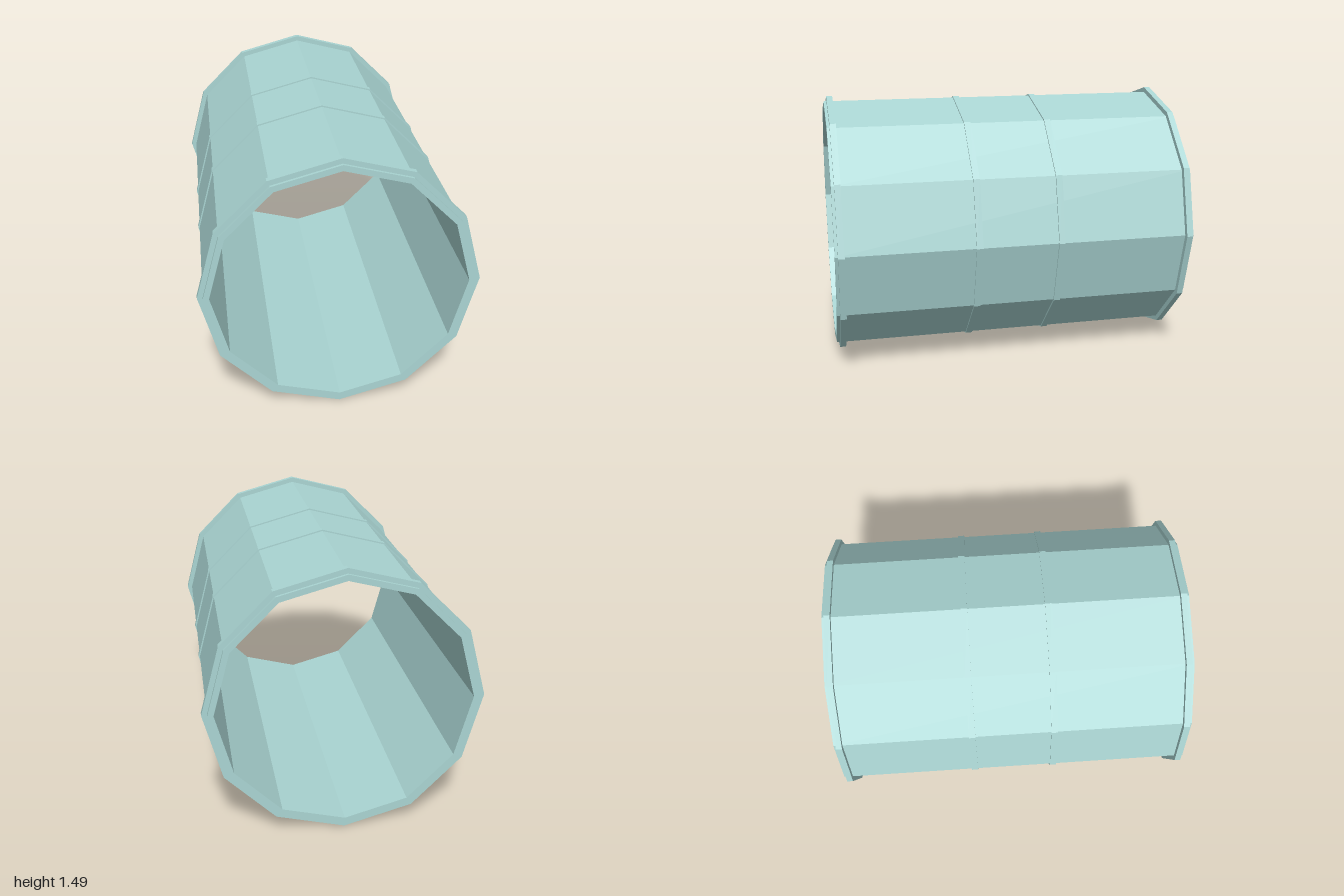
import * as THREE from 'three';

const SIDES = 12;
const CENTER_Y = 0.747; // axis height, equal to the flange radius

// Twelve-sided ring around the z axis, from a closed [radius, z] outline
function ring(name, outline, material) {
  const points = [...outline, outline[0]].map(([r, z]) => new THREE.Vector2(r, z));
  const geometry = new THREE.LatheGeometry(points, SIDES).rotateX(Math.PI / 2);
  const mesh = new THREE.Mesh(geometry.toNonIndexed(), material);
  mesh.geometry.computeVertexNormals(); // one flat normal per face
  mesh.name = name;
  mesh.position.y = CENTER_Y;
  return mesh;
}

// Rectangular section between two radii and two z values
const section = (inner, outer, z0, z1) => [[outer, z0], [outer, z1], [inner, z1], [inner, z0]];

export function createModel() {
  const model = new THREE.Group();
  model.name = 'openPipe';
  const paint = new THREE.MeshStandardMaterial({ color: 0xaad5d3 });
  paint.name = 'paleTeal';
  paint.flatShading = true;

  // Hollow wall, open at both ends
  model.add(ring('pipeWall', section(0.685, 0.718, -1, 1), paint));

  // Raised flange near each end and two slim ribs around the middle
  for (const [side, label] of [[1, 'front'], [-1, 'back']]) {
    const flangeZ = side * 0.967;
    const ribZ = side * 0.23;
    model.add(ring(`${label}Flange`, section(0.7, CENTER_Y, flangeZ - 0.017, flangeZ + 0.017), paint));
    model.add(ring(`${label}Rib`, section(0.7, 0.726, ribZ - 0.018, ribZ + 0.018), paint));
  }
  return model;
}
